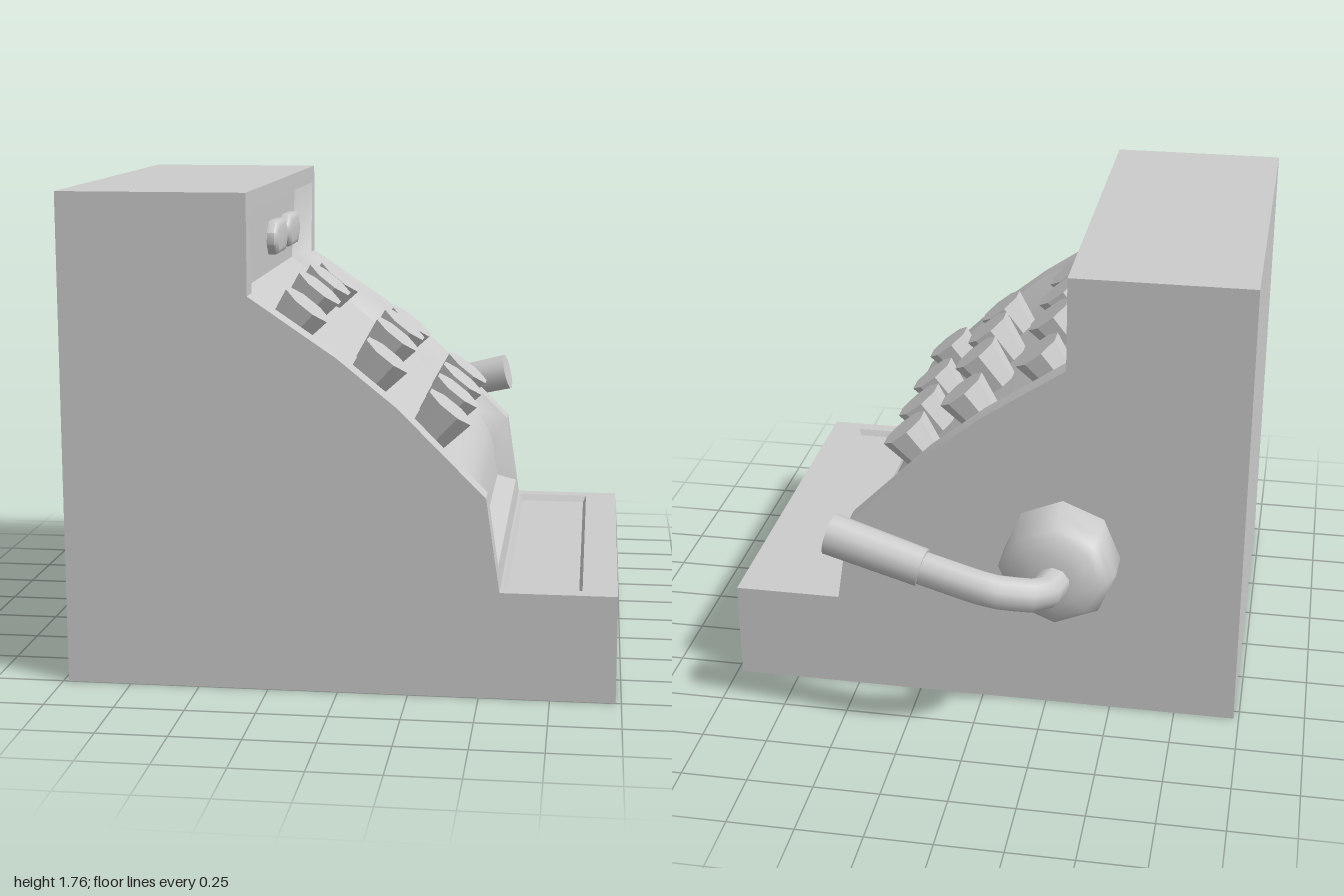
import * as THREE from 'three';
import { toCreasedNormals } from 'three/addons/utils/BufferGeometryUtils.js';

const grey = new THREE.MeshStandardMaterial({ color: 0xcccccc });
const flatGrey = new THREE.MeshStandardMaterial({ color: 0xcccccc, flatShading: true });
const MID = 0.225, HALF = 0.775; // middle and half width of the cabinet in z

function add(parent, name, geometry, material = grey) {
  const mesh = new THREE.Mesh(geometry, material);
  mesh.name = name;
  parent.add(mesh);
  return mesh;
}

// Cabinet: side profile swept across z. Each station holds the rim point,
// half width of the opening, sunken point and half width of the sunken floor.
function cabinetGeometry() {
  const plain = (x, y, half = 0.68) => [x, y, half, x, y, half];
  const stations = [
    plain(-0.98, 0), plain(0.98, 0), plain(0.98, 0.385),
    // shallow tray on the drawer
    plain(0.857, 0.385, 0.717),
    [0.857, 0.385, 0.717, 0.845, 0.36, 0.703],
    [0.58, 0.385, 0.717, 0.59, 0.36, 0.703],
    plain(0.58, 0.385, 0.717),
    plain(0.57, 0.385),
    // sunken key panel
    plain(0.56, 0.455, 0.68),
    [0.56, 0.455, 0.68, 0.485, 0.485, 0.637],
    [0.52, 0.72, 0.68, 0.465, 0.62, 0.637],
    [0.52, 0.72, 0.68, 0.44, 0.69, 0.637],
    [0.52, 0.72, 0.68, 0.39, 0.755, 0.637],
    [0.21, 1.03, 0.68, 0.155, 0.97, 0.637],
    [0, 1.2, 0.68, -0.05, 1.135, 0.637],
    [-0.31, 1.41, 0.68, -0.385, 1.395, 0.635],
    [-0.31, 1.7, 0.72, -0.38, 1.67, 0.69],
    plain(-0.31, 1.7, 0.72),
    plain(-0.31, 1.765), plain(-0.98, 1.765),
  ];
  const rows = stations.map(([px, py, hole, qx, qy, floor]) => [
    [px, py, HALF], [px, py, hole], [qx, qy, floor],
    [qx, qy, -floor], [px, py, -hole], [px, py, -HALF],
  ].map(([x, y, z]) => new THREE.Vector3(x, y, z + MID)));

  const pos = [];
  const tri = (a, b, c) => {
    const area = b.clone().sub(a).cross(c.clone().sub(a)).length();
    if (area > 1e-7) for (const v of [a, b, c]) pos.push(v.x, v.y, v.z);
  };
  rows.forEach((row, i) => {
    const next = rows[(i + 1) % rows.length];
    for (let j = 0; j < 5; j++) {
      tri(row[j], next[j + 1], next[j]);
      tri(row[j], row[j + 1], next[j + 1]);
    }
  });

  // flat side walls
  const outline = [[-0.98, 0], [0.98, 0], [0.98, 0.385], [0.57, 0.385], [0.52, 0.72],
    [0.21, 1.03], [0, 1.2], [-0.31, 1.41], [-0.31, 1.765], [-0.98, 1.765]]
    .map(([x, y]) => new THREE.Vector2(x, y));
  const at = (i, z) => new THREE.Vector3(outline[i].x, outline[i].y, z);
  for (const [a, b, c] of THREE.ShapeUtils.triangulateShape(outline, [])) {
    tri(at(a, MID + HALF), at(b, MID + HALF), at(c, MID + HALF));
    tri(at(a, MID - HALF), at(c, MID - HALF), at(b, MID - HALF));
  }
  const geometry = new THREE.BufferGeometry();
  geometry.setAttribute('position', new THREE.Float32BufferAttribute(pos, 3));
  return toCreasedNormals(geometry, 0.6);
}

// Display window: chamfered rectangle with a soft bevel, facing +x
function windowGeometry() {
  const w = 0.107, h = 0.045, c = 0.03;
  const shape = new THREE.Shape([[-w + c, -h], [w - c, -h], [w, -h + c], [w, h - c],
    [w - c, h], [-w + c, h], [-w, h - c], [-w, -h + c]].map(([x, y]) => new THREE.Vector2(x, y)));
  const geometry = new THREE.ExtrudeGeometry(shape, {
    depth: 0.03, bevelSize: 0.02, bevelThickness: 0.015, bevelSegments: 2,
  });
  return toCreasedNormals(geometry.rotateY(Math.PI / 2), 0.9);
}

export function createModel() {
  const model = new THREE.Group();
  model.name = 'cashRegister';
  add(model, 'cabinet', cabinetGeometry());

  // Display windows
  const pane = windowGeometry();
  for (const z of [0.067, -0.237]) add(model, 'displayWindow', pane).position.set(-0.385, 1.528, z);

  // Keys: flared octagons standing square to the panel, placed by their top centres
  const key = new THREE.CylinderGeometry(0.102, 0.07, 0.18, 8).translate(0, -0.09, 0);
  key.rotateY(Math.PI / 8);
  const up = new THREE.Vector3(0, 1, 0);
  const normal = new THREE.Vector3(0.62, 0.78, 0).normalize();
  const keys = new THREE.Group();
  keys.name = 'keys';
  model.add(keys);
  const rows = [
    { x: -0.15, y: [1.34, 1.365, 1.365, 1.34], z: [0.66, 0.36, 0.09, -0.21] },
    { x: 0.14, y: [1.16, 1.19, 1.19, 1.16], z: [0.65, 0.333, 0.067, -0.223] },
    { x: 0.37, y: [0.975, 0.975, 0.975, 0.975], z: [0.657, 0.317, 0.05, -0.215] },
  ];
  for (const row of rows) {
    row.z.forEach((z, i) => {
      const mesh = add(keys, 'key', key, flatGrey);
      mesh.position.set(row.x, row.y[i], z);
      mesh.quaternion.setFromUnitVectors(up, normal);
    });
  }

  // Crank hub on the side wall
  const hubProfile = [[0.22, 0], [0.22, 0.135], [0.195, 0.18], [0.165, 0.205], [0.1, 0.23], [0, 0.23]]
    .map(([r, y]) => new THREE.Vector2(r, y));
  const hub = toCreasedNormals(new THREE.LatheGeometry(hubProfile, 8).rotateX(-Math.PI / 2), 0.9);
  add(model, 'crankHub', hub).position.set(-0.305, 0.665, -0.55);

  // Bent crank arm
  const armPath = new THREE.CurvePath();
  const bends = [[-0.31, 0.665, -0.74], [-0.275, 0.675, -0.89], [-0.1, 0.705, -0.938], [0.18, 0.765, -0.907]]
    .map((p) => new THREE.Vector3(...p));
  const arm = new THREE.CatmullRomCurve3(bends, false, 'catmullrom', 0.2);
  add(model, 'crankArm', new THREE.TubeGeometry(arm, 10, 0.063, 10));

  // Grip
  const start = new THREE.Vector3(0.15, 0.76, -0.91), end = new THREE.Vector3(0.5, 0.847, -0.873);
  const dir = end.clone().sub(start);
  const gripGeometry = new THREE.CylinderGeometry(0.077, 0.071, dir.length(), 12);
  const grip = add(model, 'crankGrip', gripGeometry);
  grip.position.copy(start).add(end).multiplyScalar(0.5);
  grip.quaternion.setFromUnitVectors(up, dir.normalize());

  return model;
}
